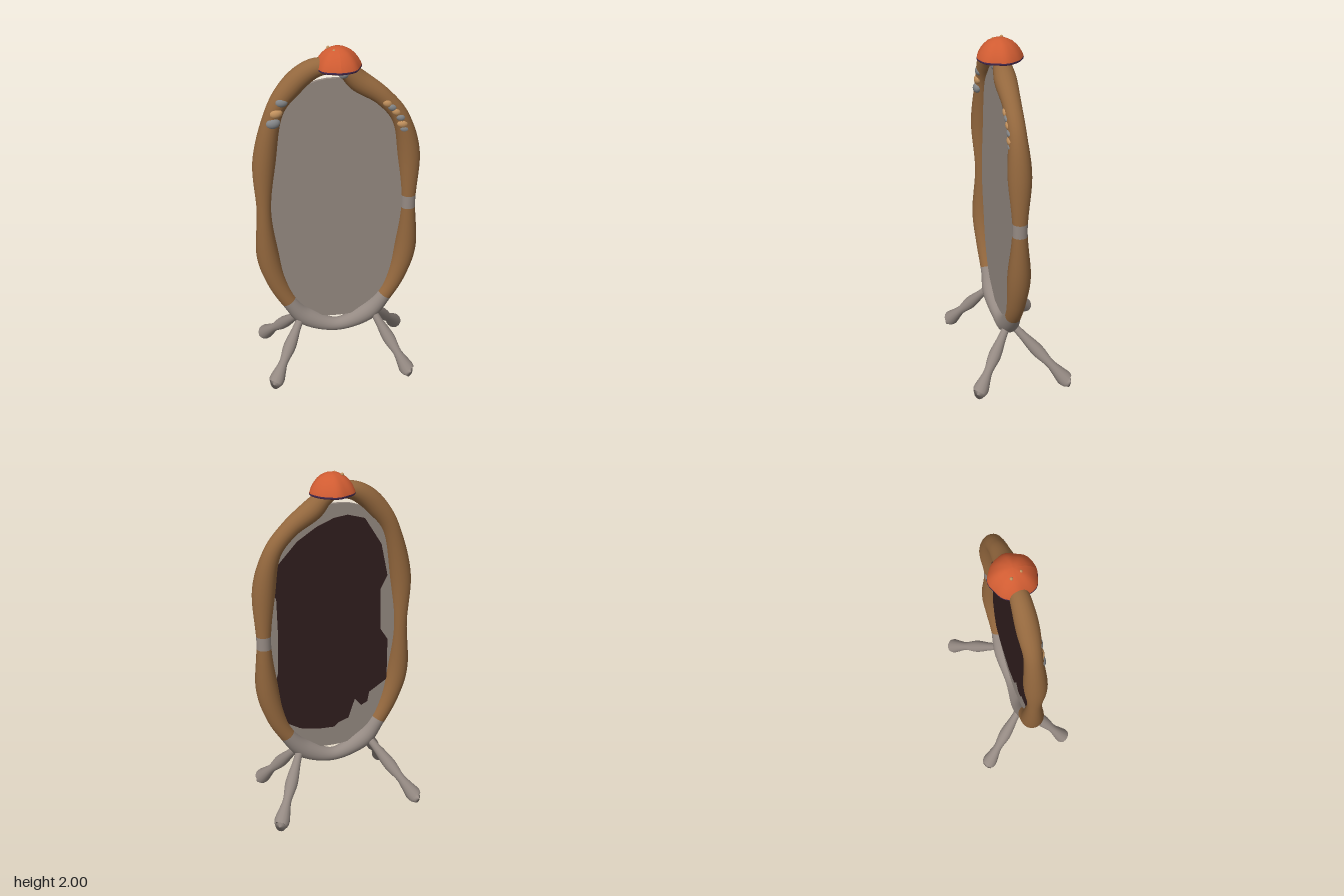
import * as THREE from 'three';

const V = (x, y, z = 0) => new THREE.Vector3(x, y, z);
const mat = (name, color, side = THREE.FrontSide) => {
  const m = new THREE.MeshStandardMaterial({ color, side });
  m.name = name;
  return m;
};

// Tube of varying radius; each path entry is [x, y, z, radius]
function limb(path, closed, segments, sides) {
  const curve = new THREE.CatmullRomCurve3(path.map(p => V(p[0], p[1], p[2])), closed, 'catmullrom');
  const radii = new THREE.CatmullRomCurve3(path.map(p => V(p[3], 0, 0)), closed, 'catmullrom');
  const geo = new THREE.TubeGeometry(curve, segments, 1, sides, closed);
  const pos = geo.attributes.position, v = V(0, 0, 0), centres = [];
  for (let i = 0; i <= segments; i++) {
    const u = i / segments, c = curve.getPointAt(u);
    const r = Math.max(0.001, radii.getPoint(curve.getUtoTmapping(u)).x);
    centres.push(c);
    for (let j = 0; j <= sides; j++) {
      const k = i * (sides + 1) + j;
      v.fromBufferAttribute(pos, k).sub(c).multiplyScalar(r).add(c);
      pos.setXYZ(k, v.x, v.y, v.z);
    }
  }
  return { geo, centres };
}

export function createModel() {
  const model = new THREE.Group();
  const wood = mat('brown wood', 0x94683e);
  const stone = mat('grey wood', 0x958a83);
  const glass = mat('mirror grey', 0x92877f);
  const backing = mat('dark backing', 0x2f1d1d);
  const orange = mat('orange cap', 0xd05c32);
  const purple = mat('purple gills', 0x4a2c52, THREE.DoubleSide);
  const tan = mat('tan pebble', 0xc4935f);
  const slate = mat('slate pebble', 0x858789);
  const add = (name, geo, material, parent = model) => {
    const m = new THREE.Mesh(geo, material);
    m.name = name;
    parent.add(m);
    return m;
  };
  const Z = 0.028;

  // Knobbly oval frame, grey at the bottom and on one band
  const loop = [
    [-0.02, 1.895, 0.042], [-0.13, 1.885, 0.054], [-0.24, 1.8, 0.06], [-0.34, 1.65, 0.05],
    [-0.4, 1.37, 0.064], [-0.411, 1.07, 0.041], [-0.4, 0.79, 0.064], [-0.355, 0.6, 0.055],
    [-0.275, 0.44, 0.046], [-0.18, 0.335, 0.058], [0, 0.262, 0.04], [0.18, 0.335, 0.058],
    [0.29, 0.455, 0.046], [0.36, 0.6, 0.055], [0.402, 0.79, 0.064], [0.411, 1.07, 0.041],
    [0.402, 1.37, 0.064], [0.352, 1.58, 0.05], [0.25, 1.71, 0.05], [0.12, 1.805, 0.06], [0.05, 1.868, 0.048],
  ].map(([x, y, r]) => [x, y, Z, r]);
  const sides = 20, segs = 260, frame = limb(loop, true, segs, sides);
  for (let i = 0; i < segs; i++) {
    const c = frame.centres[i].clone().lerp(frame.centres[i + 1], 0.5);
    const grey = c.y < 0.455 || (c.x > 0 && Math.abs(c.y - 1.07) < 0.037);
    frame.geo.addGroup(i * sides * 6, sides * 6, grey ? 1 : 0);
  }
  add('frame', frame.geo, [wood, stone]);

  // Four splayed bone-like legs
  const stations = [[0, 0.022], [0.2, 0.025], [0.48, 0.037], [0.72, 0.026], [0.86, 0.034],
    [1, 0.045], [1.08, 0.037], [1.13, 0.02], [1.145, 0.001]];
  for (const sx of [-1, 1]) for (const sz of [-1, 1]) {
    const a = V(sx * 0.215, 0.345, Z + sz * 0.015);
    const b = V(sx * (sz < 0 ? 0.41 : 0.387), 0.055, sz * 0.245);
    const path = stations.map(([t, r]) => [...a.clone().lerp(b, t).toArray(), r]);
    path.forEach(p => { p[1] = Math.max(p[1], 0.034); });
    const name = (sz > 0 ? 'front' : 'back') + (sx > 0 ? 'LeftLeg' : 'RightLeg');
    add(name, limb(path, false, 40, 14).geo, stone);
  }

  // Mirror plate: a squarish oval
  const oval = [];
  for (let i = 0; i < 72; i++) {
    const a = i / 72 * Math.PI * 2, c = Math.cos(a), s = Math.sin(a), e = 2 / 2.6;
    oval.push(new THREE.Vector2(
      0.385 * Math.sign(c) * Math.abs(c) ** e, 1.08 + 0.75 * Math.sign(s) * Math.abs(s) ** e));
  }
  add('mirror', new THREE.ExtrudeGeometry(new THREE.Shape(oval), { depth: 0.02, bevelEnabled: false }), glass)
    .position.z = Z - 0.01;

  // Ragged dark patch on the back of the mirror
  const patch = [[0.365, 1.377], [0.335, 1.32], [0.33, 1.1], [0.335, 0.87], [0.37, 0.74], [0.285, 0.53],
    [0.21, 0.485], [0.1, 0.46], [0, 0.455], [-0.03, 0.48], [-0.09, 0.5], [-0.13, 0.62], [-0.17, 0.57],
    [-0.21, 0.59], [-0.22, 0.65], [-0.33, 0.72], [-0.33, 0.98], [-0.285, 1.05], [-0.28, 1.3],
    [-0.32, 1.38], [-0.28, 1.57], [-0.18, 1.73], [-0.08, 1.76], [0, 1.75], [0.1, 1.71], [0.21, 1.64], [0.32, 1.52]];
  add('mirrorBacking', new THREE.ExtrudeGeometry(
    new THREE.Shape(patch.map(p => new THREE.Vector2(...p))), { depth: 0.004, bevelEnabled: false }), backing)
    .position.z = Z - 0.014;

  // Mushroom cap with wavy edge, purple rim and hollow underside
  const mushroom = new THREE.Group();
  mushroom.name = 'mushroom';
  mushroom.position.set(0.006, 1.885, Z);
  model.add(mushroom);
  const turned = points => {
    const geo = new THREE.LatheGeometry(points.map(p => new THREE.Vector2(...p)), 40);
    const pos = geo.attributes.position;
    for (let i = 0; i < pos.count; i++) {
      const x = pos.getX(i), z = pos.getZ(i), a = Math.atan2(z, x);
      const k = 1 + 0.025 * Math.cos(5 * a + 1) + 0.015 * Math.cos(8 * a);
      pos.setX(i, x * k);
      pos.setZ(i, z * k);
    }
    geo.computeVertexNormals();
    return geo;
  };
  add('cap', turned([[0.124, 0.013], [0.119, 0.028], [0.107, 0.05], [0.09, 0.073], [0.068, 0.094],
    [0.04, 0.109], [0.018, 0.114], [0, 0.115]]), orange, mushroom);
  add('gills', turned([[0, 0.025], [0.07, 0.016], [0.112, 0.003], [0.119, 0], [0.125, 0.005], [0.124, 0.013]]),
    purple, mushroom);

  // Small warts on the cap
  for (const [x, y, z] of [[-0.043, 1.99, 0.005], [-0.019, 1.988, 0.06], [0.034, 1.985, 0.049], [0.039, 1.97, 0.074]])
    add('capWart', new THREE.SphereGeometry(0.009, 10, 8), tan).position.set(x, y, z);

  // Pebbles set along the upper frame: x, y, size, tilt, material
  const pebbles = [
    [-0.3, 1.722, 0.034, 0.1, slate], [-0.33, 1.66, 0.034, 0.3, tan], [-0.348, 1.605, 0.038, 0.2, slate],
    [0.268, 1.685, 0.028, -0.6, tan], [0.295, 1.66, 0.026, -0.5, slate], [0.318, 1.632, 0.026, -0.6, tan],
    [0.343, 1.598, 0.026, -0.4, slate], [0.355, 1.56, 0.03, -0.2, tan], [0.368, 1.53, 0.028, -0.3, slate],
    [0.035, 1.86, 0.028, 0.4, slate], [-0.02, 1.878, 0.026, 0, tan],
  ];
  for (const [x, y, size, tilt, material] of pebbles) {
    const p = add('pebble', new THREE.SphereGeometry(size, 14, 10), material);
    p.position.set(x, y, Z + 0.038);
    p.scale.set(1.05, 0.8, 0.65);
    p.rotation.z = tilt;
  }
  return model;
}
